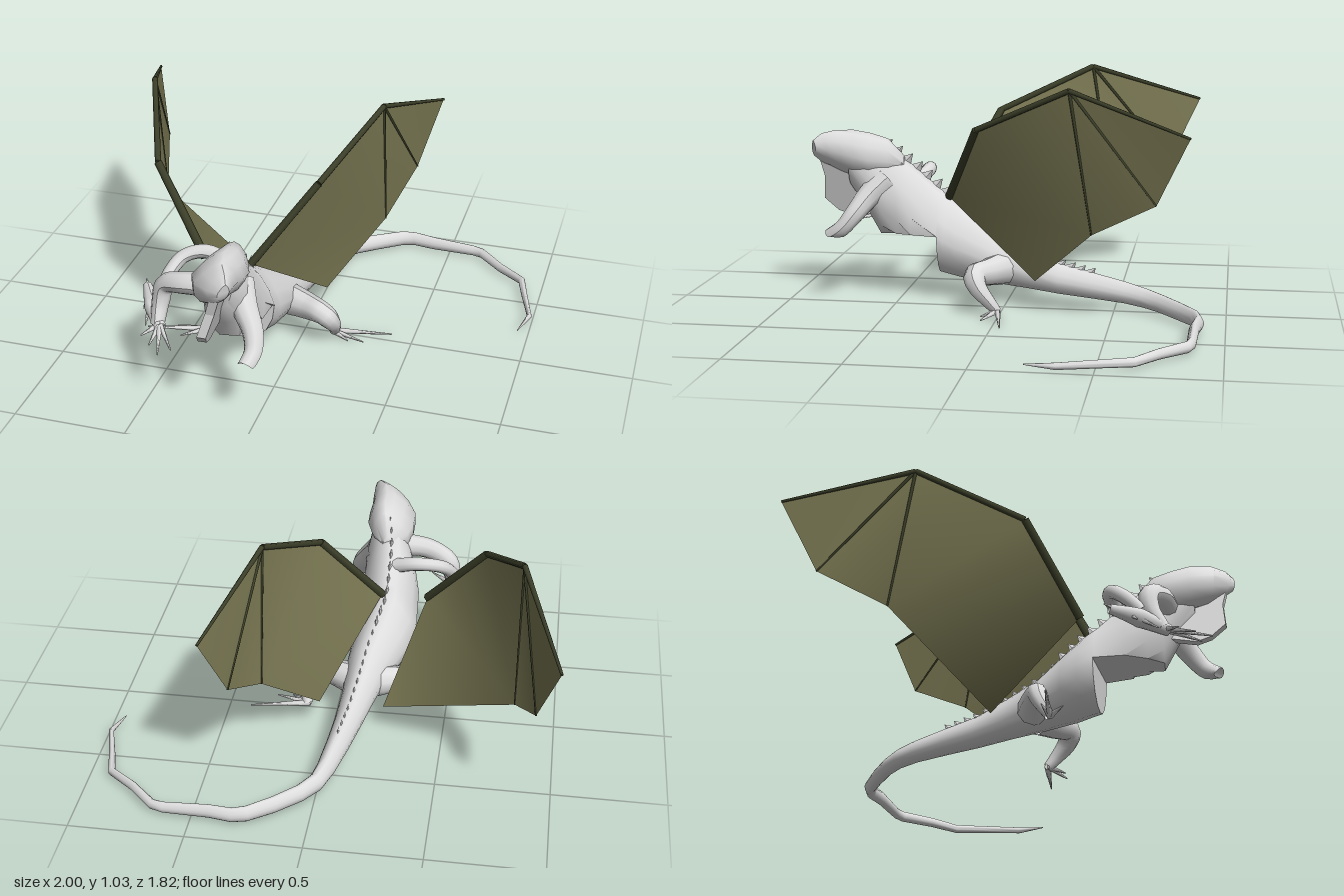
import * as THREE from 'three';
import { toCreasedNormals } from 'three/addons/utils/BufferGeometryUtils.js';

const V = (p) => new THREE.Vector3(...p);
const mat = (name, color) => {
  const m = new THREE.MeshStandardMaterial({ color, side: THREE.DoubleSide });
  m.name = name;
  return m;
};

// Loft through upright rings [x, z, halfWidth, top, bottom, floor]; keel narrows the upper half
function loft(rings, roll = 0, keel = 0, sides = 16) {
  const pos = [], idx = [], n = rings.length;
  rings.forEach(([x, z, w, top, bottom, floor = 0], i) => {
    const a = rings[Math.max(0, i - 1)], b = rings[Math.min(n - 1, i + 1)];
    const t = new THREE.Vector2(b[0] - a[0], b[1] - a[1]).normalize();
    const mid = (top + bottom) / 2, h = (top - bottom) / 2;
    for (let j = 0; j < sides; j++) {
      const q = (j / sides) * Math.PI * 2, s = Math.sin(q);
      const c = Math.cos(q) * w * (1 - keel * Math.max(0, s));
      const y = Math.max(floor, mid + s * h);
      pos.push(x - t.y * c + (y - mid) * roll, y, z + t.x * c);
    }
  });
  for (let i = 0; i < n - 1; i++) for (let j = 0; j < sides; j++) {
    const k = (j + 1) % sides, a = i * sides + j, b = i * sides + k;
    idx.push(a, a + sides, b, b, a + sides, b + sides);
  }
  const last = (n - 1) * sides;
  for (let j = 1; j < sides - 1; j++) idx.push(0, j, j + 1, last, last + j + 1, last + j);
  const g = new THREE.BufferGeometry();
  g.setAttribute('position', new THREE.Float32BufferAttribute(pos, 3));
  g.setIndex(idx);
  return toCreasedNormals(g, 0.9);
}

// Curved limb whose radius changes along its path
function limb(points, radii, floor = 0) {
  const curve = new THREE.CatmullRomCurve3(points.map(V)), n = 20, sides = 10;
  const g = new THREE.TubeGeometry(curve, n, 1, sides, false);
  const p = g.attributes.position, v = new THREE.Vector3();
  for (let i = 0; i <= n; i++) {
    const c = curve.getPointAt(i / n), f = (i / n) * (radii.length - 1);
    const k = Math.min(Math.floor(f), radii.length - 2);
    const r = THREE.MathUtils.lerp(radii[k], radii[k + 1], f - k);
    for (let j = 0; j <= sides; j++) {
      const m = i * (sides + 1) + j;
      v.fromBufferAttribute(p, m).sub(c).multiplyScalar(r).add(c);
      p.setXYZ(m, v.x, Math.max(floor, v.y), v.z);
    }
  }
  g.computeVertexNormals();
  return g;
}

// Straight tapered rod between two points
function rod(a, b, r0, r1, sides = 6) {
  const A = V(a), d = V(b).sub(A);
  const g = new THREE.CylinderGeometry(r1, r0, d.length(), sides);
  g.applyQuaternion(new THREE.Quaternion().setFromUnitVectors(new THREE.Vector3(0, 1, 0), d.clone().normalize()));
  return g.translate(...A.addScaledVector(d, 0.5).toArray());
}

export function createModel() {
  const root = new THREE.Group();
  const skin = mat('skin grey', 0xdcdcdc);
  const web = mat('wing olive', 0x7a7853);
  const bone = mat('wing bone dark olive', 0x3d402a);
  const add = (name, geo, m = skin, parent = root) => {
    const mesh = new THREE.Mesh(geo, m);
    mesh.name = name;
    parent.add(mesh);
  };

  // Keeled torso and long curling tail; the chest is cut level at 0.3
  const spine = [
    [-0.16, 0.74, 0.06, 0.74, 0.52], [-0.16, 0.66, 0.09, 0.735, 0.4],
    [-0.165, 0.6, 0.11, 0.72, 0.28, 0.3], [-0.18, 0.53, 0.12, 0.67, 0.24, 0.3],
    [-0.19, 0.45, 0.135, 0.61, 0.17, 0.3],
    [-0.19, 0.322, 0.14, 0.5, 0.11, 0.3], [-0.19, 0.32, 0.14, 0.5, 0.11], [-0.19, 0.27, 0.138, 0.465, 0.1],
    [-0.17, 0.2, 0.13, 0.42, 0.09], [-0.13, 0.05, 0.1, 0.32, 0.08],
    [-0.11, -0.1, 0.075, 0.25, 0.065], [-0.085, -0.25, 0.062, 0.19, 0.05],
    [-0.06, -0.4, 0.052, 0.16, 0.04], [-0.03, -0.55, 0.042, 0.13, 0.03],
    [0, -0.64, 0.036, 0.11, 0.02], [0.06, -0.715, 0.032, 0.098, 0.015],
    [0.16, -0.8, 0.029, 0.09, 0.01], [0.26, -0.87, 0.026, 0.085, 0.01],
    [0.32, -0.885, 0.024, 0.08, 0.01], [0.42, -0.87, 0.022, 0.075, 0.01],
    [0.62, -0.865, 0.02, 0.062, 0.01], [0.67, -0.85, 0.019, 0.06, 0.01],
    [0.78, -0.74, 0.018, 0.055, 0.01], [0.9, -0.65, 0.017, 0.05, 0.01],
    [0.935, -0.52, 0.014, 0.045, 0.01], [0.985, -0.35, 0.011, 0.04, 0.01],
    [0.95, -0.22, 0.002, 0.02, 0.015],
  ];
  add('bodyAndTail', loft(spine, 0, 0.3));

  // Head, turned and tipped to one side
  add('head', loft([
    [-0.08, 0.895, 0.025, 0.735, 0.66], [-0.105, 0.86, 0.055, 0.765, 0.62],
    [-0.145, 0.8, 0.09, 0.778, 0.575], [-0.165, 0.72, 0.11, 0.778, 0.545],
    [-0.165, 0.64, 0.108, 0.765, 0.53], [-0.17, 0.56, 0.085, 0.74, 0.54], [-0.175, 0.49, 0.03, 0.66, 0.58],
  ], 0.25, 0.42, 12));

  // Throat flap
  const flap = new THREE.Shape([[0.875, 0.64], [0.86, 0.56], [0.872, 0.45], [0.81, 0.39], [0.75, 0.37],
    [0.64, 0.4], [0.6, 0.55], [0.65, 0.64]].map((p) => new THREE.Vector2(...p)));
  const flapGeo = new THREE.ExtrudeGeometry(flap, { depth: 0.04, bevelEnabled: false });
  flapGeo.rotateY(-Math.PI / 2);
  const fp = flapGeo.attributes.position;
  for (let i = 0; i < fp.count; i++) fp.setX(i, fp.getX(i) - 0.11 + (fp.getY(i) - 0.64) * 0.32);
  flapGeo.computeVertexNormals();
  add('throatFlap', flapGeo);

  // Front limbs
  add('leftArm', limb([[-0.13, 0.55, 0.57], [-0.08, 0.48, 0.64], [-0.025, 0.4, 0.7], [-0.01, 0.34, 0.75], [-0.025, 0.3, 0.81]],
    [0.07, 0.058, 0.048, 0.04, 0.035], 0.3));
  add('rightArm', limb([[-0.2, 0.55, 0.62], [-0.35, 0.54, 0.62], [-0.45, 0.5, 0.59], [-0.47, 0.42, 0.6],
    [-0.47, 0.33, 0.65]], [0.06, 0.05, 0.045, 0.04, 0.03], 0.3));
  add('rightArmArc', limb([[-0.2, 0.54, 0.43], [-0.32, 0.575, 0.4], [-0.42, 0.555, 0.43], [-0.47, 0.49, 0.5],
    [-0.49, 0.41, 0.57]], [0.035, 0.032, 0.03, 0.03, 0.025], 0.3));
  add('rightPalm', limb([[-0.59, 0.39, 0.45], [-0.53, 0.37, 0.55], [-0.45, 0.33, 0.67]], [0.02, 0.04, 0.025], 0.3));

  // Hind limbs
  add('leftHindLeg', limb([[-0.08, 0.16, 0.02], [0.03, 0.165, 0.07], [0.115, 0.165, 0.115], [0.145, 0.12, 0.095],
    [0.15, 0.06, 0.045], [0.14, 0.015, 0.01]], [0.075, 0.065, 0.056, 0.048, 0.034, 0.022]));
  add('rightHindLeg', limb([[-0.18, 0.16, 0.03], [-0.28, 0.16, 0.06], [-0.37, 0.15, 0.09], [-0.41, 0.1, 0.11],
    [-0.43, 0.015, 0.16]], [0.075, 0.06, 0.045, 0.034, 0.022]));

  // Clawed toes fanning from each foot
  const toes = (name, from, tips) => tips.forEach((t) => add(name, rod(from, t, 0.015, 0.003)));
  toes('leftHindToe', [0.13, 0.015, 0.01], [[0.4, 0.01, -0.04], [0.29, 0.01, 0.06], [0.25, 0.01, -0.02], [0.22, 0.01, 0.07]]);
  toes('rightHindToe', [-0.43, 0.015, 0.16], [[-0.7, 0.01, 0.21], [-0.62, 0.01, 0.2], [-0.57, 0.01, 0.16], [-0.53, 0.01, 0.24]]);
  toes('rightFinger', [-0.46, 0.335, 0.65], [[-0.4, 0.31, 0.84], [-0.36, 0.31, 0.79], [-0.46, 0.31, 0.78], [-0.52, 0.31, 0.72]]);
  toes('rightRearFinger', [-0.55, 0.38, 0.52], [[-0.6, 0.41, 0.43], [-0.57, 0.34, 0.56], [-0.53, 0.31, 0.64]]);

  // Saw-toothed crest along the back and tail
  for (let i = 0; i < 22; i++) {
    const z = 0.57 - i * 0.046;
    const k = spine.findIndex((s) => s[1] < z), a = spine[k - 1], b = spine[k];
    const f = (a[1] - z) / (a[1] - b[1]), at = (c) => THREE.MathUtils.lerp(a[c], b[c], f);
    const s = z > 0.15 ? 1 : 0.6;
    const g = new THREE.ConeGeometry(0.045 * s, 0.075 * s, 4).scale(0.28, 1, 1);
    g.rotateX(-0.75);
    add('backSpine', g.translate(at(0), at(3) + 0.008 * s, z));
  }

  // Wings: shoulder, wrist, peak, tip, then trailing corners
  const wing = (name, pts) => {
    const group = new THREE.Group();
    group.name = name;
    root.add(group);
    const [shoulder, wrist, peak, tip] = pts;
    const g = new THREE.BufferGeometry();
    g.setAttribute('position', new THREE.Float32BufferAttribute(pts.flat(), 3));
    g.setIndex([2, 3, 4, 2, 4, 5, 2, 5, 1, 1, 5, 0, 0, 5, 6]);
    add('membrane', toCreasedNormals(g, 0.9), web, group);
    add('upperBone', rod(shoulder, wrist, 0.02, 0.018), bone, group);
    add('middleBone', rod(wrist, peak, 0.014, 0.013), bone, group);
    add('outerBone', rod(peak, tip, 0.012, 0.006), bone, group);
    for (const end of [pts[4], pts[5]]) add('fingerBone', rod(peak, end, 0.008, 0.004), bone, group);
  };
  wing('leftWing', [[-0.17, 0.47, 0.28], [0.09, 0.82, 0.11], [0.27, 1.02, -0.32], [0.44, 0.85, -0.84],
    [0.355, 0.55, -0.7], [0.27, 0.4, -0.42], [0.06, 0.14, -0.15]]);
  wing('rightWing', [[-0.38, 0.47, 0.28], [-0.65, 0.82, 0.11], [-0.82, 1.02, -0.32], [-0.995, 0.85, -0.84],
    [-0.91, 0.55, -0.7], [-0.82, 0.4, -0.42], [-0.23, 0.14, -0.15]]);

  return root;
}
